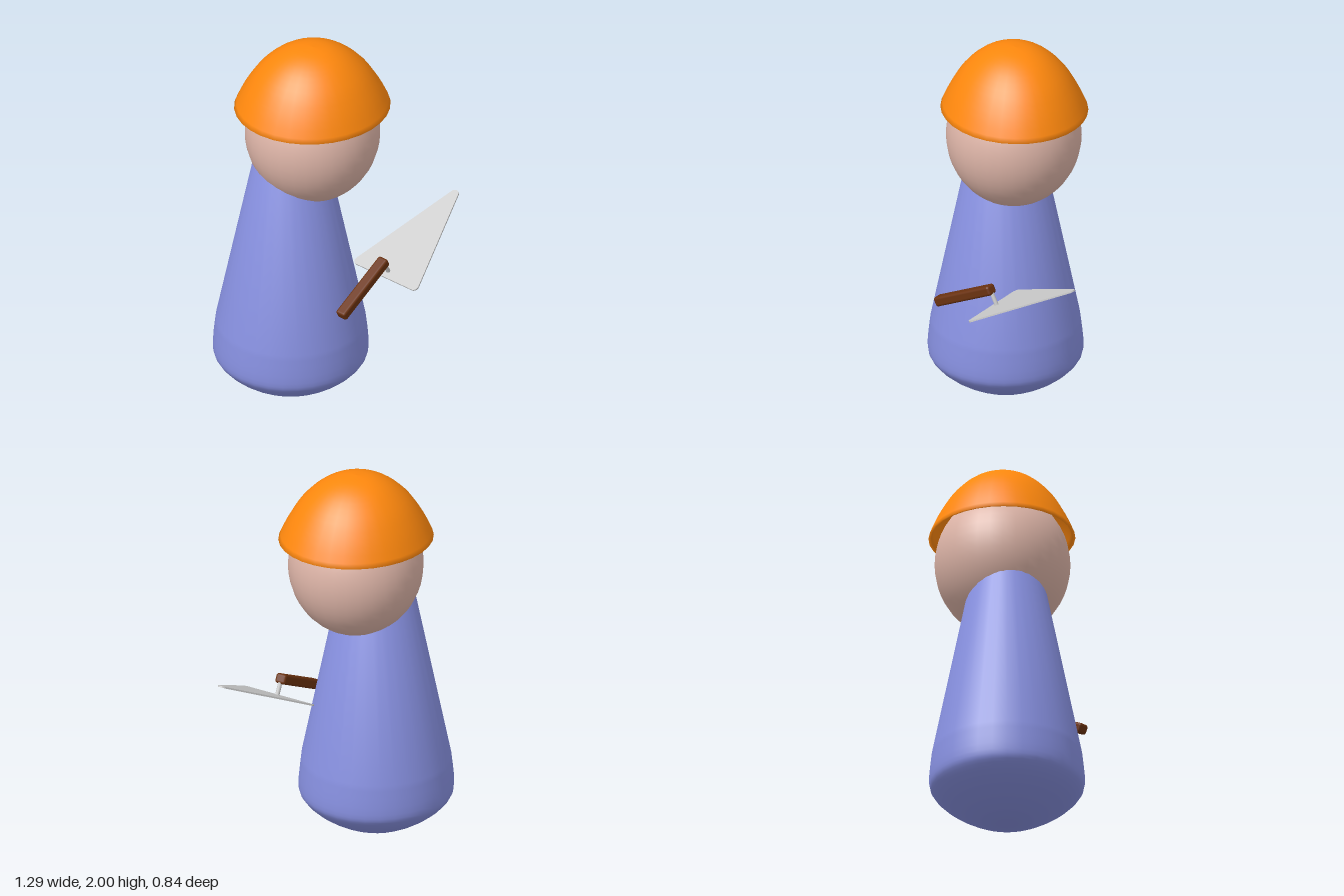
import * as THREE from 'three';
import { RoundedBoxGeometry } from 'three/addons/geometries/RoundedBoxGeometry.js';

const V = (x, y, z) => new THREE.Vector3(x, y, z);

function addMesh(parent, name, geometry, color) {
  const material = new THREE.MeshStandardMaterial({ color });
  const mesh = new THREE.Mesh(geometry, material);
  mesh.name = name;
  parent.add(mesh);
  return mesh;
}

// Revolve [radius, y] pairs, smoothed by a spline
const spline = (pairs, n) =>
  new THREE.SplineCurve(pairs.map(([r, y]) => new THREE.Vector2(r, y)))
    .getPoints(n).map(p => p.set(Math.max(p.x, 0), p.y));

// Triangle with rounded corners: arcs around three centres, counter-clockwise
function roundedTriangle(centres, radius) {
  const shape = new THREE.Shape();
  const normalAngle = (a, b) => Math.atan2(b.y - a.y, b.x - a.x) - Math.PI / 2;
  centres.forEach((c, i) => {
    const before = centres[(i + 2) % 3], after = centres[(i + 1) % 3];
    shape.absarc(c.x, c.y, radius, normalAngle(before, c), normalAngle(c, after), false);
  });
  shape.closePath();
  return shape;
}

function createTrowel() {
  const trowel = new THREE.Group();
  trowel.name = 'trowel';

  // Frame: x across the blade, y towards its tip, z out of its upper face
  const tip = V(0.62, 0.965, -0.04), left = V(0.09, 0.715, 0.05), right = V(0.29, 0.715, 0.36);
  const origin = left.clone().add(right).multiplyScalar(0.5);
  const across = right.clone().sub(left).normalize();
  const normal = across.clone().cross(tip.clone().sub(origin)).normalize();
  const along = normal.clone().cross(across);
  trowel.matrix.makeBasis(across, along, normal).setPosition(origin);
  trowel.matrix.decompose(trowel.position, trowel.quaternion, trowel.scale);

  const flat = p => {
    const d = p.clone().sub(origin);
    return new THREE.Vector2(d.dot(across), d.dot(along));
  };
  const blade = new THREE.ExtrudeGeometry(
    roundedTriangle([left, right, tip].map(flat), 0.024),
    { depth: 0.008, bevelEnabled: false, curveSegments: 8 });
  blade.translate(0, 0, -0.004);
  addMesh(trowel, 'blade', blade, 0xcccccc);

  // Pin joining the blade to the handle
  const pin = new THREE.CylinderGeometry(0.011, 0.011, 0.09, 12);
  pin.rotateX(Math.PI / 2);
  addMesh(trowel, 'pin', pin, 0xcccccc).position.set(0, 0.015, 0.045);

  const handle = new RoundedBoxGeometry(0.06, 0.385, 0.052, 2, 0.014);
  addMesh(trowel, 'handle', handle, 0x6b3210).position.set(0, -0.165, 0.088);
  return trowel;
}

export function createModel() {
  const model = new THREE.Group();
  model.name = 'workerFigure';

  // Tapered body with a rounded base
  const bodyProfile = [
    ...spline([[0, 0], [0.09, 0.004], [0.19, 0.04], [0.3, 0.105], [0.375, 0.175],
      [0.396, 0.24], [0.381, 0.4]], 24),
    new THREE.Vector2(0.187, 1.36), new THREE.Vector2(0, 1.38),
  ];
  addMesh(model, 'body', new THREE.LatheGeometry(bodyProfile, 32), 0x8790e0)
    .position.set(-0.25, 0, -0.025);

  // Head, slightly taller than wide
  const head = addMesh(model, 'head', new THREE.SphereGeometry(0.345, 32, 24), 0xdeb5a8);
  head.position.set(-0.135, 1.5, -0.025);
  head.scale.y = 1.087;

  // Hollow dome helmet: inside from the crown down, then the outside back up
  const dome = spline([[0.4, 1.65], [0.35, 1.755], [0.28, 1.86], [0.19, 1.942],
    [0.095, 1.987], [0, 2]], 16);
  const inside = dome.slice().reverse()
    .map(p => new THREE.Vector2(p.x * 0.96, 1.652 + (p.y - 1.65) * 0.95));
  const helmet = addMesh(model, 'helmet', new THREE.LatheGeometry([...inside, ...dome], 32), 0xff880d);
  helmet.position.set(-0.135, 0, -0.028);
  helmet.scale.z = 0.93;

  model.add(createTrowel());
  return model;
}
